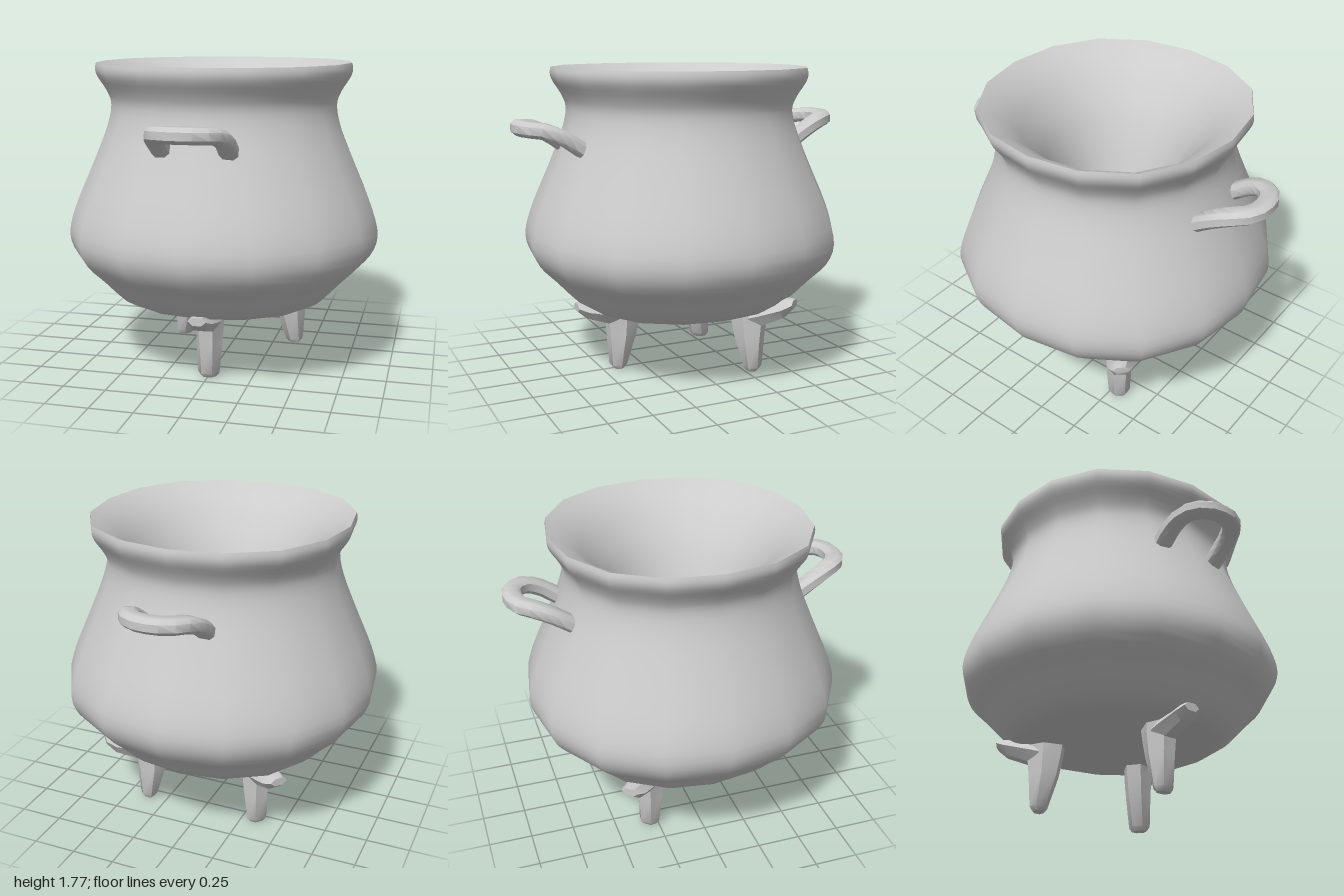
import * as THREE from 'three';
import { toCreasedNormals } from 'three/addons/utils/BufferGeometryUtils.js';

const SIDES = 16;
const grey = new THREE.MeshStandardMaterial({ color: 0xcccccc });

function add(parent, name, geometry) {
  const mesh = new THREE.Mesh(geometry, grey);
  mesh.name = name;
  parent.add(mesh);
  return mesh;
}

// Smooth turned surface, bulging slightly along the diagonals
function turned(points, steps) {
  const profile = new THREE.SplineCurve(points.map(([r, y]) => new THREE.Vector2(r, y)));
  const geometry = new THREE.LatheGeometry(profile.getPoints(steps), SIDES);
  const position = geometry.attributes.position;
  for (let i = 0; i < position.count; i++) {
    const x = position.getX(i), z = position.getZ(i);
    const bulge = 1 + 0.03 * Math.sin(2 * Math.atan2(x, z)) ** 2;
    position.setX(i, x * bulge);
    position.setZ(i, z * bulge);
  }
  return geometry;
}

// Closed skin over a row of cross-sections
function loft(rings) {
  const n = rings[0].length, index = [];
  for (let k = 0; k < rings.length - 1; k++) {
    for (let i = 0; i < n; i++) {
      const a = k * n + i, b = k * n + (i + 1) % n;
      index.push(a, a + n, b, b, a + n, b + n);
    }
  }
  const last = (rings.length - 1) * n;
  for (let i = 1; i < n - 1; i++) {
    index.push(0, i, i + 1, last, last + i + 1, last + i);
  }
  const geometry = new THREE.BufferGeometry();
  geometry.setAttribute('position', new THREE.Float32BufferAttribute(rings.flat(2), 3));
  geometry.setIndex(index);
  return toCreasedNormals(geometry, 0.8);
}

const hexagon = (corner) => Array.from({ length: 6 }, (_, i) => corner(Math.cos(i * Math.PI / 3), Math.sin(i * Math.PI / 3)));

// Horizontal section of a leg: height, inner and outer reach, half width
const legRing = ([y, inner, outer, w]) =>
  hexagon((c, s) => [w * c, y, (inner + outer) / 2 + (outer - inner) / 2 * s / 0.866]);

// Upright section of a leg's outward spur: reach, bottom, top, half width
const spurRing = ([z, low, high, w]) =>
  hexagon((c, s) => [w * c, (low + high) / 2 - (high - low) / 2 * s / 0.866, z]);

function makeLeg(name, angle, offset, rise) {
  const leg = new THREE.Group();
  leg.name = name;
  add(leg, 'legShaft', loft([
    [0, 0.375, 0.43, 0.045],
    [0.025, 0.358, 0.448, 0.064],
    [0.21, 0.3, 0.46, 0.077],
    [0.31, 0.28, 0.47, 0.084],
    [0.41, 0.265, 0.48, 0.087],
  ].map(legRing)));
  add(leg, 'legSpur', loft([
    [0.4, 0.27, 0.4, 0.078],
    [0.47, 0.29, 0.41 + rise / 2, 0.08],
    [0.6, 0.335 + rise / 2, 0.425 + rise, 0.072],
    [0.655, 0.38 + rise, 0.425 + rise, 0.05],
  ].map(spurRing)));
  leg.rotation.y = angle;
  leg.position.set(Math.sin(angle) * offset, 0, Math.cos(angle) * offset);
  return leg;
}

// Bent strap with a chamfered rectangular section
function makeHandle(name, angle) {
  const half = [[0.182, 1.325, 0.65], [0.184, 1.4, 0.76], [0.162, 1.44, 0.85], [0.1, 1.45, 0.925]];
  const curve = new THREE.CatmullRomCurve3([
    ...half,
    [0, 1.452, 0.948],
    ...half.map(([x, y, z]) => [-x, y, z]).reverse(),
  ].map((p) => new THREE.Vector3(...p)));
  const section = [[1, -0.5], [1, 0.5], [0.55, 1], [-0.55, 1], [-1, 0.5], [-1, -0.5], [-0.55, -1], [0.55, -1]];
  const steps = 14;
  const rings = Array.from({ length: steps + 1 }, (_, k) => {
    const point = curve.getPointAt(k / steps);
    const tangent = curve.getTangentAt(k / steps);
    const side = new THREE.Vector3(tangent.z, 0, -tangent.x).normalize();
    const up = tangent.clone().cross(side);
    return section.map(([s, u]) =>
      point.clone().addScaledVector(side, 0.051 * s).addScaledVector(up, -0.042 * u).toArray());
  });
  const handle = add(new THREE.Group(), name, loft(rings));
  handle.rotation.y = angle;
  return handle;
}

export function createModel() {
  const model = new THREE.Group();
  model.name = 'cauldron';

  // Pot: bellied wall with its rounded base, and the funnel-shaped hollow
  add(model, 'potWall', turned([
    [0, 0.38], [0.5, 0.386], [0.61, 0.412], [0.68, 0.47], [0.77, 0.565], [0.865, 0.665],
    [0.905, 0.785], [0.866, 0.95], [0.76, 1.2], [0.68, 1.4], [0.652, 1.53],
    [0.675, 1.61], [0.725, 1.69], [0.738, 1.735], [0.732, 1.77],
  ], 42));
  add(model, 'potHollow', turned([
    [0.732, 1.77], [0.66, 1.73], [0.58, 1.67], [0.5, 1.585], [0.41, 1.46], [0.33, 1.29],
    [0.27, 1.12], [0.22, 0.99], [0.14, 0.93], [0, 0.91],
  ], 27));

  // Handles at the front and back
  model.add(makeHandle('frontHandle', 0), makeHandle('backHandle', Math.PI));

  // Three legs
  model.add(
    makeLeg('frontLeg', 0, 0, 0),
    makeLeg('backLeftLeg', 2.25, 0.08, 0.035),
    makeLeg('backRightLeg', -2.29, 0.05, 0),
  );
  return model;
}
